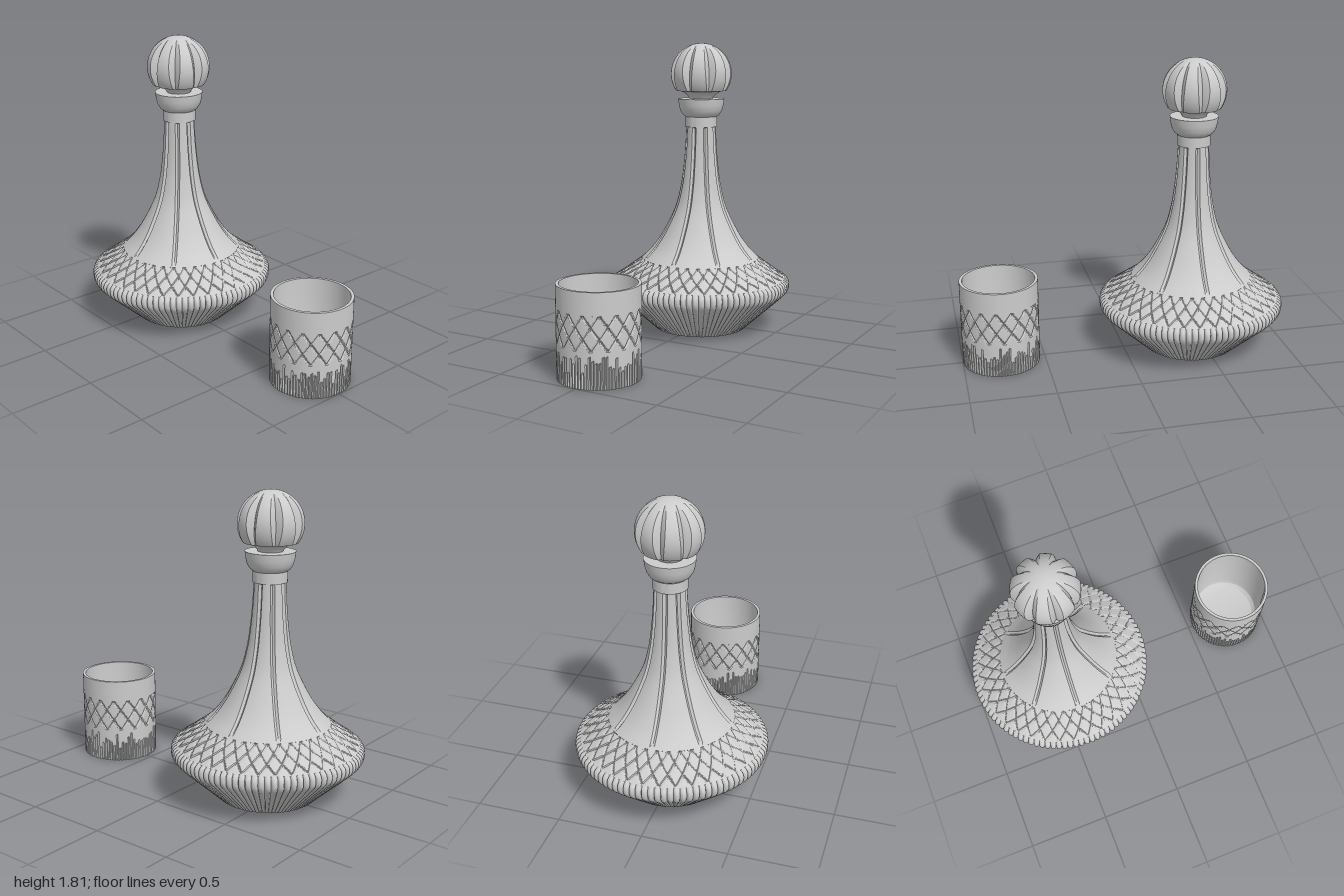
import * as THREE from 'three';
import { toCreasedNormals } from 'three/addons/utils/BufferGeometryUtils.js';

const TAU = Math.PI * 2;
const material = new THREE.MeshStandardMaterial({ color: 0xcccccc });

function addMesh(parent, name, geometry, crease = 0.5) {
  const mesh = new THREE.Mesh(toCreasedNormals(geometry, crease), material);
  mesh.name = name;
  parent.add(mesh);
}

// Closed ring surface; point(i, j) returns [radius, height, angle], rows running up the outside
function revolve(cols, rows, point) {
  const pos = [], index = [];
  for (let j = 0; j <= rows; j++) {
    for (let i = 0; i < cols; i++) {
      const [r, y, a = (i / cols) * TAU] = point(i, j);
      pos.push(r * Math.sin(a), y, r * Math.cos(a));
      if (j === rows) continue;
      const n = (i + 1) % cols, a0 = j * cols + i, b0 = j * cols + n;
      index.push(a0, b0, b0 + cols, a0, b0 + cols, a0 + cols);
    }
  }
  const g = new THREE.BufferGeometry();
  g.setAttribute('position', new THREE.Float32BufferAttribute(pos, 3));
  g.setIndex(index);
  return g;
}

const lathe = (points, segments = 64) =>
  new THREE.LatheGeometry(points.map(([x, y]) => new THREE.Vector2(x, y)), segments);

const spline = (points) =>
  new THREE.SplineCurve(points.map(([x, y]) => new THREE.Vector2(x, y)));

// Band cut by two crossing sets of slanted V grooves; each groove shifts 1.5 pitches over the band
function crosshatch(count, perPitch, from, to, halfWidth, depth) {
  const rows = perPitch * 1.5;
  return revolve(count * perPitch, rows, (i, j) => {
    const t = j / rows;
    const r = from[0] + (to[0] - from[0]) * t;
    const y = from[1] + (to[1] - from[1]) * t;
    const pitch = (TAU * r) / count;
    let cut = 0;
    for (const dir of [-1, 1]) {
      const phase = (i + dir * j) / perPitch;
      const d = Math.abs(phase - Math.round(phase)) * pitch;
      cut = Math.max(cut, 1 - d / halfWidth);
    }
    if (j === 0 || j === rows) cut = 0;
    return [r - depth * cut, y];
  });
}

// Eight grooves: four narrow columns follow each groove, the other eight span the gap
const SECTOR = 12;
function grooveColumn(i, halfAngle) {
  const s = i % SECTOR, step = TAU / 8;
  const offset = s <= 4 ? ((s - 2) / 2) * halfAngle
    : halfAngle + ((s - 4) / 8) * (step - 2 * halfAngle);
  return {
    angle: Math.floor(i / SECTOR) * step + offset,
    across: s <= 4 ? Math.abs(s - 2) / 2 : 1,
  };
}

function createDecanter() {
  const g = new THREE.Group();
  g.name = 'decanter';

  // Ribbed lower body with closed base
  const bodyCurve = spline([[0.29, 0], [0.4, 0.1], [0.515, 0.205], [0.56, 0.25],
    [0.57, 0.285], [0.562, 0.315], [0.53, 0.335]]);
  const bodyRows = 16, perRib = 6;
  addMesh(g, 'ribbedBody', revolve(96 * perRib, bodyRows, (i, j) => {
    if (j === 0) return [0, 0];
    const p = bodyCurve.getPoint((j - 1) / (bodyRows - 1));
    const u = ((i % perRib) / perRib) * 2 - 1;
    const valley = 1 - Math.sqrt(1 - u * u);
    return [p.x * (1 - 0.032 * valley), p.y];
  }), 0.8);

  // Cross-cut shoulder
  addMesh(g, 'hatchedShoulder', crosshatch(36, 16, [0.54, 0.328], [0.37, 0.452], 0.011, 0.011));

  // Flared neck with eight long grooves
  const neckCurve = spline([[0.37, 0.452], [0.305, 0.52], [0.238, 0.62], [0.165, 0.77],
    [0.13, 0.9], [0.112, 1.02], [0.1, 1.15], [0.092, 1.3]]);
  const neckRows = 40;
  addMesh(g, 'groovedNeck', revolve(8 * SECTOR, neckRows, (i, j) => {
    const p = neckCurve.getPoint(j / neckRows);
    const { angle, across } = grooveColumn(i, 0.0135 / p.x);
    const cut = j < 2 || j > neckRows - 1 ? 0 : 0.014 * (1 - across * across);
    return [p.x - cut, p.y, angle];
  }));

  // Collar and cup-shaped lip
  addMesh(g, 'collar', lathe([[0.085, 1.29], [0.1, 1.29], [0.1, 1.355], [0.08, 1.355]]));
  addMesh(g, 'lip', lathe([[0.095, 1.35], [0.115, 1.365], [0.131, 1.39], [0.14, 1.425],
    [0.145, 1.465], [0.06, 1.465]]));

  // Stopper: concave stem under a ball with eight tapering V notches
  const stopper = new THREE.Group();
  stopper.name = 'stopper';
  g.add(stopper);
  addMesh(stopper, 'stopperStem', lathe([[0.07, 1.46], [0.078, 1.475], [0.092, 1.492],
    [0.112, 1.506], [0.135, 1.513], [0.158, 1.515]]));
  const R = 0.19, centre = 1.62, ballRows = 32;
  const bottom = Math.acos(-0.105 / R), notchTop = 0.3, notchEnd = 2.4;
  addMesh(stopper, 'stopperBall', revolve(8 * SECTOR, ballRows, (i, j) => {
    const polar = bottom * (1 - j / ballRows);
    const r = R * Math.sin(polar);
    const t = THREE.MathUtils.clamp((polar - notchTop) / (notchEnd - notchTop), 0, 1);
    const lens = Math.sin(Math.PI * t);
    const half = 0.004 + 0.03 * lens;
    const { angle, across } = grooveColumn(i, Math.min(half / Math.max(r, 0.01), 0.3));
    return [r - 0.035 * lens * (1 - across), centre + R * Math.cos(polar), angle];
  }), 0.4);
  return g;
}

function createTumbler() {
  const g = new THREE.Group();
  g.name = 'tumbler';
  const R = 0.235, cutTop = 0.207, hatchTop = 0.402;

  // Seeded cut heights
  let seed = 7;
  const random = () => (seed = (seed * 16807) % 2147483647) / 2147483647;
  const heights = Array.from({ length: 80 }, () => 0.08 + 0.11 * random());

  // Lower wall with uneven upright cuts, and closed base
  const rows = 20, perCut = 6;
  addMesh(g, 'cutLowerWall', revolve(80 * perCut, rows, (i, j) => {
    if (j === 0) return [0, 0];
    const y = (cutTop * (j - 1)) / (rows - 1);
    const across = Math.abs((i % perCut) - 3) / 2;
    const cut = y < heights[Math.floor(i / perCut)] ? Math.max(0, 1 - across) : 0;
    return [R - 0.008 * cut, y];
  }));

  // Cross-cut band
  addMesh(g, 'hatchedBand', crosshatch(16, 24, [R, cutTop], [R, hatchTop], 0.009, 0.009));

  // Plain rim, inner wall and floor
  addMesh(g, 'rimAndInside', lathe([[R, hatchTop], [R, 0.53], [0.217, 0.53], [0.212, 0.11],
    [0.205, 0.08], [0.185, 0.06], [0.15, 0.05], [0, 0.05]], 96));
  return g;
}

export function createModel() {
  const model = new THREE.Group();
  model.name = 'decanterSet';
  const decanter = createDecanter();
  decanter.position.x = -0.43;
  const tumbler = createTumbler();
  tumbler.position.x = 0.765;
  model.add(decanter, tumbler);
  return model;
}
